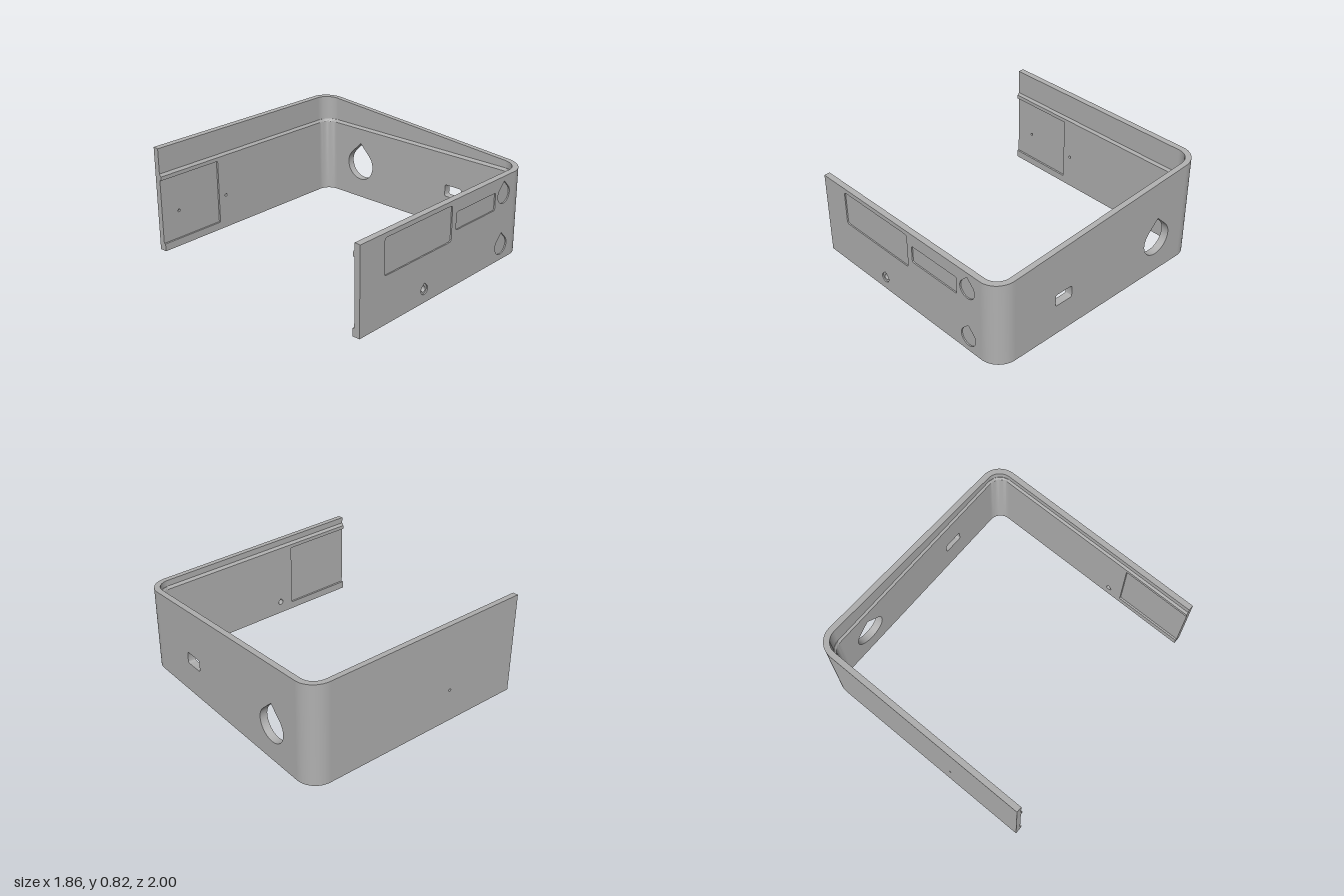
import * as THREE from 'three';
import { toCreasedNormals } from 'three/addons/utils/BufferGeometryUtils.js';

const X0 = -0.93, X1 = 0.925, R = 0.16;      // open end, closed side, corner radius
const CX = X1 - R, CZ = 1 - R;               // corner centres
const SHELL = 0.045, THICK = 0.06;           // outer shell and full wall thickness
const MARK = 0.9, LEDGE = 0.62;              // placeholder for the sloped rim, height of the ledge
const rimY = z => 0.7425 - 0.0775 * z;

// Distance inward from the rounded outer surface
function inset(x, z) {
  const qx = x - CX, qz = Math.abs(z) - CZ;
  return qx > 0 && qz > 0 ? R - Math.hypot(qx, qz) : R - Math.max(qx, qz);
}

// Slope the rim and chamfer the inner edge of the ledge
function finish(geo) {
  const p = geo.attributes.position;
  for (let i = 0; i < p.count; i++) {
    const x = p.getX(i), y = p.getY(i), z = p.getZ(i);
    if (Math.abs(y - MARK) < 1e-4) p.setY(i, rimY(z));
    else if (Math.abs(y - LEDGE) < 1e-4 && inset(x, z) > 0.05) p.setY(i, LEDGE - 0.02);
  }
  return toCreasedNormals(geo, 0.5);
}

const polygon = pts => new THREE.Shape(pts.map(p => new THREE.Vector2(...p)));
const rect = (a, b, c, d) => polygon([[a, b], [c, b], [c, d], [a, d]]);

// Circle with a square-cornered tip on top
function drop(x, y, r) {
  const s = new THREE.Path(), k = r * Math.SQRT1_2;
  s.moveTo(x, y + r * Math.SQRT2);
  s.lineTo(x - k, y + k);
  s.absarc(x, y, r, Math.PI * 0.75, Math.PI * 2.25, false);
  s.closePath();
  return s;
}

function roundRect(a, b, c, d, r) {
  const s = new THREE.Path();
  s.absarc(c - r, b + r, r, -Math.PI / 2, 0, false);
  s.absarc(c - r, d - r, r, 0, Math.PI / 2, false);
  s.absarc(a + r, d - r, r, Math.PI / 2, Math.PI, false);
  s.absarc(a + r, b + r, r, Math.PI, Math.PI * 1.5, false);
  s.closePath();
  return s;
}

function circle(x, y, r) {
  const s = new THREE.Path();
  s.absarc(x, y, r, 0, Math.PI * 2, false);
  return s;
}

export function createModel() {
  const model = new THREE.Group();
  const grey = new THREE.MeshStandardMaterial({ color: 0xb0b0b0 });
  grey.name = 'grey plastic';

  const add = (name, geo, parent) => {
    const mesh = new THREE.Mesh(finish(geo), grey);
    mesh.name = name;
    parent.add(mesh);
  };
  const group = name => {
    const g = new THREE.Group();
    g.name = name;
    model.add(g);
    return g;
  };
  const extrude = (shape, depth, holes = []) => {
    shape.holes = holes;
    return new THREE.ExtrudeGeometry(shape, { depth, bevelEnabled: false, curveSegments: 24 });
  };

  // Outlines of the long walls; the lining leaves a recess at the open end
  const longOutline = () => rect(X0, 0, CX, MARK);
  const liningOutline = () => polygon([[X0, 0], [CX, 0], [CX, LEDGE], [X0, LEDGE],
    [X0, 0.57], [-0.38, 0.57], [-0.38, 0.06], [X0, 0.06]]);

  // Front wall: engraved skin, core and lining
  const front = group('frontWall');
  const SKIN = 0.01;
  const lightHole = () => drop(-0.265, 0.1, 0.022);
  add('frontSkin', extrude(longOutline(), SKIN, [
    roundRect(-0.69, 0.36, 0.02, 0.63, 0.02),
    roundRect(0.07, 0.43, 0.535, 0.565, 0.015),
    drop(0.64, 0.525, 0.072), drop(0.64, 0.118, 0.072), drop(-0.265, 0.1, 0.037),
  ]).translate(0, 0, 1 - SKIN), front);
  add('frontCore', extrude(longOutline(), SHELL - SKIN, [lightHole()]).translate(0, 0, 1 - SHELL), front);
  add('frontLining', extrude(liningOutline(), THICK - SHELL, [lightHole()]).translate(0, 0, 1 - THICK), front);

  // Back wall: one through hole and one blind pit inside the recess
  const back = group('backWall');
  const pinHole = () => circle(-0.31, 0.27, 0.011);
  add('backSkin', extrude(longOutline(), 0.03, [pinHole()]).translate(0, 0, -1), back);
  add('backCore', extrude(longOutline(), SHELL - 0.03, [pinHole(), circle(-0.77, 0.28, 0.011)])
    .translate(0, 0, -0.97), back);
  add('backLining', extrude(liningOutline(), THICK - SHELL, [pinHole()]).translate(0, 0, -1 + SHELL), back);

  // Side wall, drawn along -z: port and drop-shaped opening
  const side = group('sideWall');
  const openings = () => [roundRect(-0.465, 0.25, -0.31, 0.345, 0.015), drop(0.57, 0.29, 0.131)];
  add('sideShell', extrude(rect(-CZ, 0, CZ, MARK), SHELL, openings())
    .rotateY(Math.PI / 2).translate(X1 - SHELL, 0, 0), side);
  add('sideLining', extrude(rect(-CZ, 0, CZ, LEDGE), THICK - SHELL, openings())
    .rotateY(Math.PI / 2).translate(X1 - THICK, 0, 0), side);

  // Rounded corners
  const corner = (rOut, rIn, height, sign) => {
    const s = new THREE.Shape();
    const a = sign > 0 ? -Math.PI / 2 : 0, b = a + Math.PI / 2;
    s.absarc(CX, -sign * CZ, rOut, a, b, false);
    s.absarc(CX, -sign * CZ, rIn, b, a, true);
    s.closePath();
    return extrude(s, height).rotateX(-Math.PI / 2);
  };
  for (const [name, sign] of [['frontCorner', 1], ['backCorner', -1]]) {
    const g = group(name);
    add(name + 'Shell', corner(R, R - SHELL, MARK, sign), g);
    add(name + 'Lining', corner(R - SHELL, R - THICK, LEDGE, sign), g);
  }
  return model;
}
